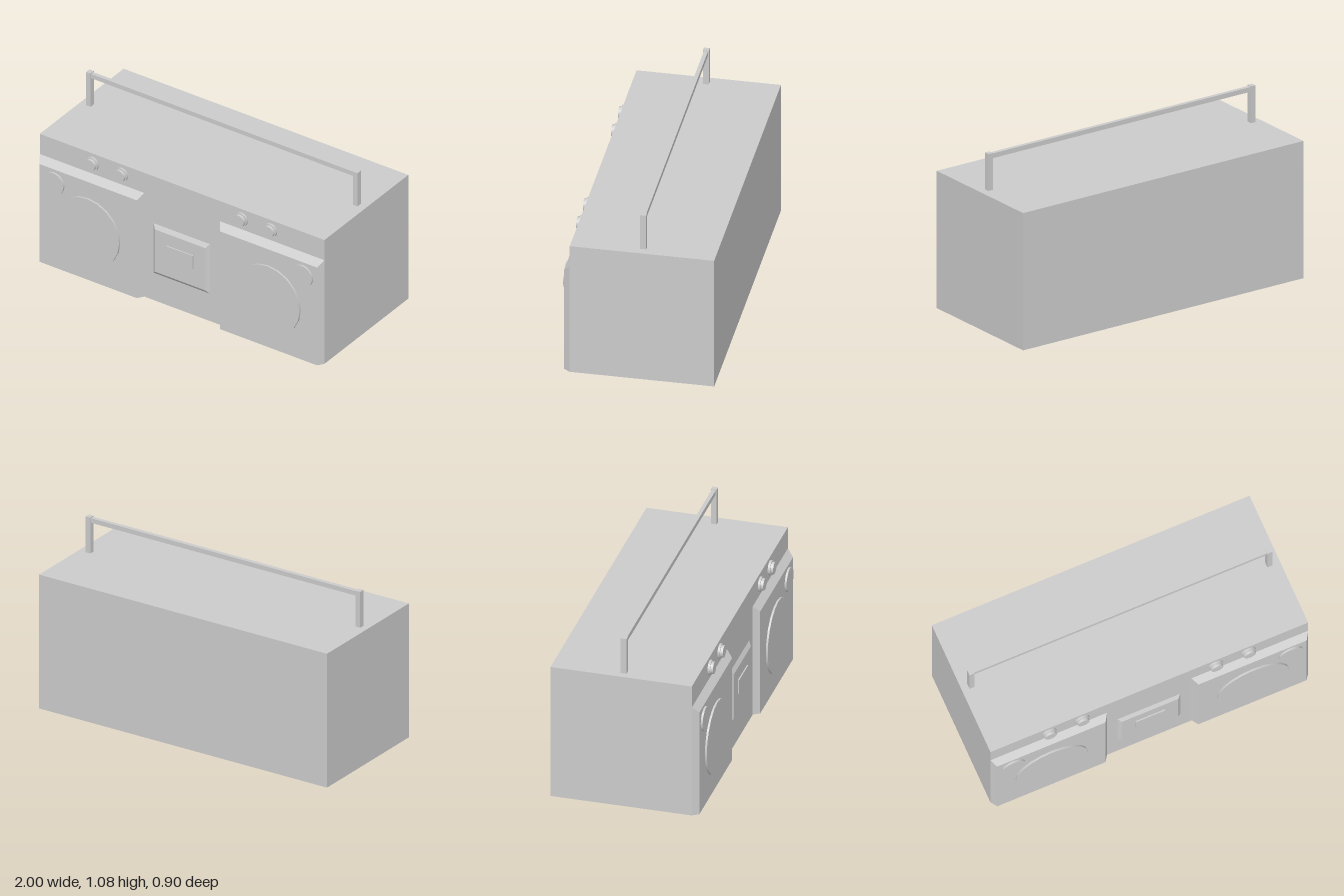
import * as THREE from 'three';

const material = new THREE.MeshStandardMaterial({ color: 0xcccccc });

export function createModel() {
  const model = new THREE.Group();

  function add(name, geometry) {
    const mesh = new THREE.Mesh(geometry, material);
    mesh.name = name;
    model.add(mesh);
    return mesh;
  }

  // Box given by its lower and upper limits
  function box(name, x0, x1, y0, y1, z0, z1) {
    const geometry = new THREE.BoxGeometry(x1 - x0, y1 - y0, z1 - z0);
    geometry.translate((x0 + x1) / 2, (y0 + y1) / 2, (z0 + z1) / 2);
    return add(name, geometry);
  }

  // Box whose front face is drawn in to leave sloped edges
  function bevelledPanel(name, x0, x1, y0, y1, z0, z1, side, top, bottom) {
    const mesh = box(name, x0, x1, y0, y1, z0, z1);
    const p = mesh.geometry.attributes.position;
    const midX = (x0 + x1) / 2, midY = (y0 + y1) / 2, midZ = (z0 + z1) / 2;
    for (let i = 0; i < p.count; i++) {
      if (p.getZ(i) < midZ) continue;
      p.setX(i, p.getX(i) + (p.getX(i) < midX ? side : -side));
      p.setY(i, p.getY(i) + (p.getY(i) < midY ? bottom : -top));
    }
    mesh.geometry.computeVertexNormals();
  }

  // Round part facing forwards
  function disc(name, x, y, radius, z0, z1, sides, frontRadius = radius) {
    const geometry = new THREE.CylinderGeometry(frontRadius, radius, z1 - z0, sides);
    geometry.rotateX(Math.PI / 2).translate(x, y, (z0 + z1) / 2);
    add(name, geometry);
  }

  box('body', -1, 1, 0, 0.848, -0.45, 0.4);

  // Speaker panels with their large and small cones
  for (const s of [-1, 1]) {
    const side = s < 0 ? 'right' : 'left';
    const centre = s * 0.633;
    bevelledPanel(side + 'SpeakerPanel', centre - 0.367, centre + 0.367, 0, 0.71, 0.4, 0.438, 0.026, 0.04, 0);
    disc(side + 'Woofer', s * 0.634, 0.335, 0.226, 0.43, 0.45, 20);
    disc(side + 'Tweeter', s * 0.873, 0.578, 0.073, 0.43, 0.45, 24);
  }

  // Control knobs: wide collar and narrower cap
  for (const x of [-0.63, -0.424, 0.417, 0.623]) {
    disc('knobCollar', x, 0.781, 0.045, 0.395, 0.414, 24);
    disc('knobCap', x, 0.781, 0.038, 0.41, 0.43, 24, 0.036);
  }

  // Cassette door and its raised window
  bevelledPanel('cassetteDoor', -0.2, 0.195, 0.188, 0.527, 0.4, 0.416, 0.02, 0.027, 0.022);
  box('cassetteWindow', -0.096, 0.091, 0.33, 0.42, 0.41, 0.424);

  // Carrying handle
  box('rightHandlePost', -0.956, -0.924, 0.84, 1.075, -0.04, -0.005);
  box('leftHandlePost', 0.919, 0.951, 0.84, 1.075, -0.04, -0.005);
  box('handleBar', -0.93, 0.925, 1.041, 1.07, -0.035, -0.011);

  return model;
}
